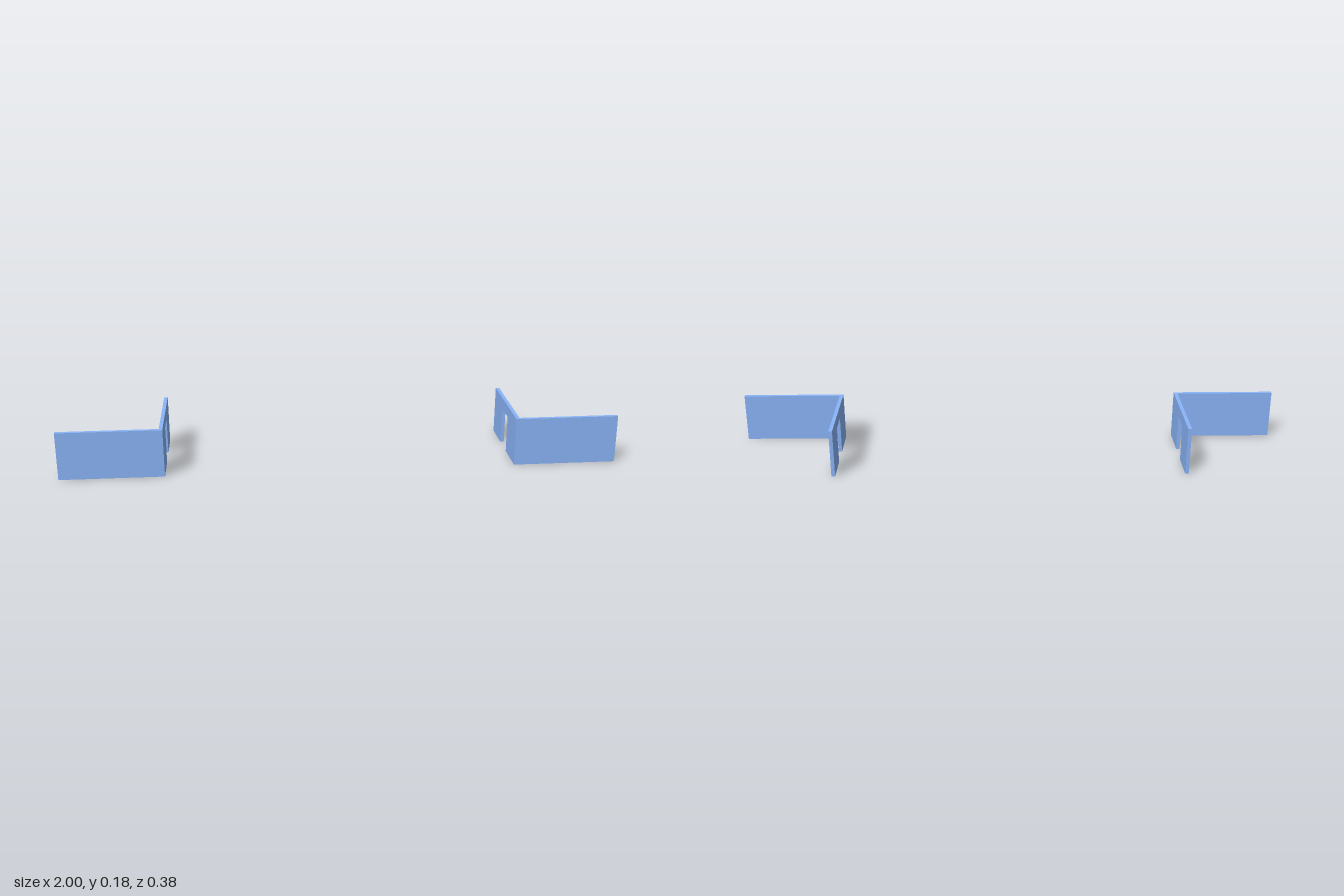
import * as THREE from 'three';

const HEIGHT = 0.176, THICK = 0.0133, TILT = 0.02;
const FRONT_LENGTH = 0.372, SIDE_LENGTH = 0.345;
const DOOR_START = 0.133, DOOR_END = 0.225, DOOR_HEIGHT = 0.135;

export function createModel() {
  const model = new THREE.Group();
  model.name = 'cornerWalls';
  const material = new THREE.MeshStandardMaterial({ color: 0x8ab4f8 });

  // Side wall outline with a doorway open to the ground
  const outline = new THREE.Shape([
    [THICK, 0], [DOOR_START, 0], [DOOR_START, DOOR_HEIGHT], [DOOR_END, DOOR_HEIGHT],
    [DOOR_END, 0], [SIDE_LENGTH, 0], [SIDE_LENGTH, HEIGHT], [THICK, HEIGHT],
  ].map(([x, y]) => new THREE.Vector2(x, y)));
  const sideGeometry = new THREE.ExtrudeGeometry(outline, { depth: THICK, bevelEnabled: false });
  sideGeometry.rotateY(Math.PI / 2);
  const frontGeometry = new THREE.BoxGeometry(FRONT_LENGTH, HEIGHT, THICK);

  // One L-shaped pair of walls; its origin is the outer front corner
  function addCorner(name, side, x, z) {
    const corner = new THREE.Group();
    corner.name = name;

    const frontWall = new THREE.Mesh(frontGeometry, material);
    frontWall.name = 'frontWall';
    frontWall.position.set(side * FRONT_LENGTH / 2, HEIGHT / 2, -THICK / 2);

    const doorWall = new THREE.Mesh(sideGeometry, material);
    doorWall.name = 'doorWall';
    doorWall.position.x = side > 0 ? 0 : -THICK;

    corner.add(frontWall, doorWall);
    corner.position.set(x, 0, z);
    corner.rotation.y = TILT;
    model.add(corner);
  }

  addCorner('leftCorner', 1, 0.628, 0.157);
  addCorner('rightCorner', -1, -0.628, 0.182);
  return model;
}
